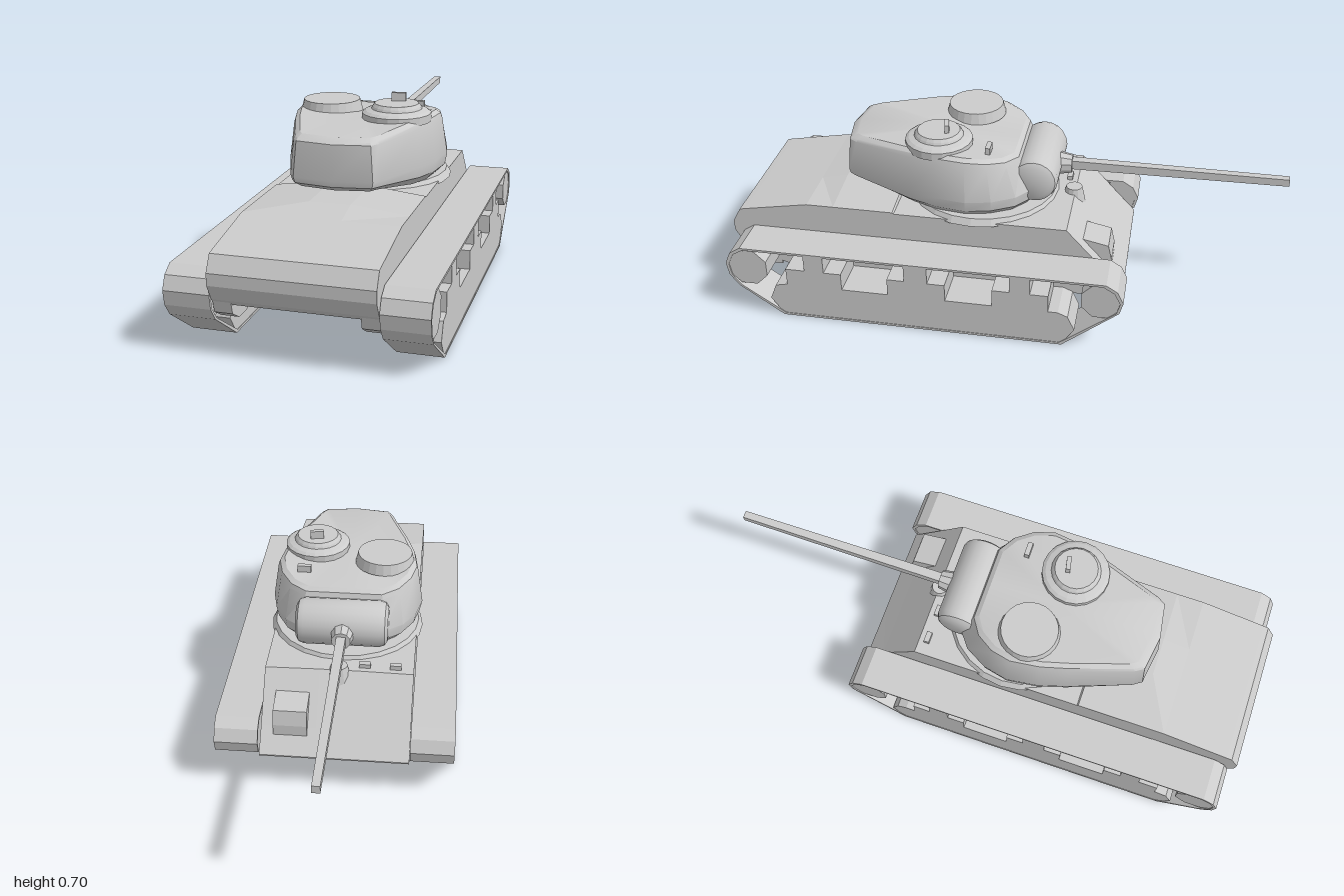
import * as THREE from 'three';
import { toCreasedNormals } from 'three/addons/utils/BufferGeometryUtils.js';

const flat = new THREE.MeshStandardMaterial({ color: 0xcccccc, flatShading: true, side: THREE.DoubleSide });
const smooth = new THREE.MeshStandardMaterial({ color: 0xcccccc, side: THREE.DoubleSide });

// Skin a stack of closed rings and cap both ends
function loft(rings) {
  const n = rings[0].length, pos = [], idx = [];
  const middle = r => [0, 1, 2].map(k => r.reduce((s, p) => s + p[k], 0) / n);
  rings.forEach(r => r.forEach(p => pos.push(...p)));
  const last = rings.length - 1, c0 = n * rings.length, c1 = c0 + 1;
  pos.push(...middle(rings[0]), ...middle(rings[last]));
  for (let i = 0; i < n; i++) {
    const j = (i + 1) % n;
    for (let r = 0; r < last; r++) {
      const a = r * n + i, b = r * n + j;
      idx.push(a, a + n, b, b, a + n, b + n);
    }
    idx.push(c0, i, j, c1, last * n + j, last * n + i);
  }
  const g = new THREE.BufferGeometry();
  g.setAttribute('position', new THREE.Float32BufferAttribute(pos, 3));
  g.setIndex(idx);
  g.computeVertexNormals();
  return g;
}

// Extrude a (z, y) side outline across the width, from x0 to x1
function sideExtrude(points, x0, x1, hole) {
  const toV = list => list.map(([z, y]) => new THREE.Vector2(z, y));
  const shape = new THREE.Shape(toV(points));
  if (hole) shape.holes.push(new THREE.Path(toV(hole)));
  const g = new THREE.ExtrudeGeometry(shape, { depth: x1 - x0, bevelEnabled: false });
  return g.rotateY(-Math.PI / 2).translate(x1, 0, 0);
}

export function createModel() {
  const model = new THREE.Group();
  model.name = 'tank';
  const add = (name, geometry, x = 0, y = 0, z = 0, material = flat) => {
    const mesh = new THREE.Mesh(geometry, material);
    mesh.name = name;
    mesh.position.set(x, y, z);
    model.add(mesh);
    return mesh;
  };

  // Hull sections: z, bottom, side top, centre top
  const W = 0.265, C = 0.07;
  const hullSections = [
    [1, 0.25, 0.29, 0.29], [0.97, 0.195, 0.343, 0.343], [0.95, 0.175, 0.347, 0.347],
    [0.8, 0.117, 0.374, 0.374], [0.71, 0.116, 0.39, 0.39], [0.61, 0.116, 0.39, 0.412],
    [0.39, 0.116, 0.39, 0.412], [0.385, 0.116, 0.385, 0.39], [-0.24, 0.116, 0.385, 0.388],
    [-0.38, 0.116, 0.23, 0.231], [-0.45, 0.15, 0.155, 0.155],
  ];
  add('hull', loft(hullSections.map(([z, b, s, m]) =>
    [[W, b, z], [W, s, z], [C, m, z], [-C, m, z], [-W, s, z], [-W, b, z]])));

  // Turret ring bulge over the hull sides
  add('turretRing', new THREE.CylinderGeometry(0.27, 0.285, 0.024, 24), 0, 0.389, 0.1);

  // Running gear
  const belt = [
    [0.78, 0], [0.94, 0.115], [0.972, 0.16], [0.98, 0.21], [0.96, 0.255], [0.92, 0.28],
    [-0.4, 0.28], [-0.44, 0.255], [-0.462, 0.21], [-0.45, 0.165], [-0.25, 0],
  ];
  const beltInner = belt.map(([z, y]) => [0.26 + (z - 0.26) * 0.985, 0.14 + (y - 0.14) * 0.94]);
  const block = [
    [0.78, 0.004], [0.825, 0.07], [0.8, 0.13], [0.755, 0.14], [0.755, 0.207], [0.685, 0.207], [0.685, 0.275],
  ];
  // Stepped gaps between the upright supports
  for (const c of [0.465, 0.085]) {
    for (const s of [1, -1]) {
      const steps = [[c + s * 0.148, 0.275], [c + s * 0.148, 0.207], [c + s * 0.085, 0.207], [c + s * 0.085, 0.14]];
      block.push(...(s > 0 ? steps : steps.reverse()));
    }
  }
  block.push([-0.135, 0.275], [-0.135, 0.207], [-0.2, 0.207], [-0.2, 0.14], [-0.235, 0.14],
    [-0.27, 0.125], [-0.295, 0.07], [-0.25, 0.004]);
  const octagon = (z, y, r) => Array.from({ length: 8 }, (_, i) => {
    const a = (i + 0.5) * Math.PI / 4;
    return [z + r * Math.cos(a), y + r * Math.sin(a)];
  });
  for (const [side, x0] of [['left', 0.267], ['right', -0.421]]) {
    const x1 = x0 + 0.154;
    add(side + 'Track', sideExtrude(belt, x0, x1, beltInner));
    add(side + 'WheelBlock', sideExtrude(block, x0 + 0.002, x1 - 0.002));
    add(side + 'EndWheelA', sideExtrude(octagon(0.9, 0.197, 0.077), x0 + 0.004, x1 - 0.004));
    add(side + 'EndWheelB', sideExtrude(octagon(-0.383, 0.205, 0.073), x0 + 0.004, x1 - 0.004));
    const hx = side === 'left' ? 0.205 : -0.265;
    add(side + 'DriveHousing', sideExtrude(
      [[0.83, 0.114], [0.9, 0.114], [0.95, 0.145], [0.96, 0.185], [0.83, 0.185]], hx, hx + 0.06));
  }

  // Sloped plate fittings
  add('plateWedge', sideExtrude(
    [[-0.28, 0.328], [-0.28, 0.25], [-0.4, 0.18], [-0.4, 0.25], [-0.387, 0.305]], 0.1, 0.22));
  add('plateDome', new THREE.CylinderGeometry(0.03, 0.05, 0.09, 12), 0, 0.362, -0.235);
  for (const x of [-0.2, -0.09]) add('hullPeriscope', new THREE.BoxGeometry(0.04, 0.02, 0.02), x, 0.393, -0.21);

  // Turret: one half plan, mirrored and scaled at each level
  const half = [
    [0, -0.1], [0.15, -0.1], [0.215, -0.05], [0.26, 0.03], [0.28, 0.12], [0.265, 0.23],
    [0.235, 0.33], [0.155, 0.55], [0.135, 0.58], [0, 0.6],
  ];
  const plan = [...half, ...half.slice(1, -1).reverse().map(([x, z]) => [-x, z])];
  // Levels: y, width scale, length scale, rise of the rear overhang
  const levels = [
    [0.4, 0.86, 0.92, 0.042], [0.43, 0.97, 0.99, 0.03], [0.47, 1, 1, 0.01],
    [0.6, 0.93, 0.975, 0], [0.617, 0.91, 0.955, 0], [0.628, 0.85, 0.9, 0],
  ];
  const turret = loft(levels.map(([y, sx, sz, rise]) => plan.map(([x, z]) => {
    const lift = rise * THREE.MathUtils.smoothstep(z, 0.3, 0.42);
    const lean = y > 0.55 ? 0.025 * Math.max(0, (0.1 - z) / 0.2) : 0;
    const rearDrop = y > 0.61 ? 0.01 * Math.max(0, (z - 0.3) / 0.3) : 0;
    return [x * sx, y + lift - lean - rearDrop, 0.2 + (z - 0.2) * sz + lean * 1.5];
  })));
  add('turret', toCreasedNormals(turret, 0.5), 0, 0, 0, smooth);

  // Gun shield, collar and barrel
  const shieldProfile = [[0, -0.165], [0.06, -0.165], [0.077, -0.155], [0.084, -0.135],
    [0.084, 0.135], [0.077, 0.155], [0.06, 0.165], [0, 0.165]].map(p => new THREE.Vector2(...p));
  const shield = new THREE.LatheGeometry(shieldProfile, 20).rotateZ(Math.PI / 2);
  add('gunShield', toCreasedNormals(shield, 0.6), 0, 0.505, -0.105, smooth);
  add('gunCollar', new THREE.CylinderGeometry(0.034, 0.045, 0.06, 10).rotateX(-Math.PI / 2), -0.005, 0.5, -0.195);
  add('gunBarrel', new THREE.CylinderGeometry(0.019, 0.024, 0.82, 4).rotateY(Math.PI / 4).rotateX(-Math.PI / 2),
    -0.005, 0.502, -0.59);

  // Roof details
  const cupola = [[0.12, 0.61], [0.12, 0.638], [0.108, 0.646], [0.088, 0.652], [0.084, 0.66], [0.076, 0.67], [0, 0.67]];
  add('cupola', new THREE.LatheGeometry(cupola.map(p => new THREE.Vector2(...p)), 20), 0.125, 0, 0.24);
  add('cupolaPeriscope', new THREE.BoxGeometry(0.05, 0.035, 0.016), 0.125, 0.682, 0.21).rotation.y = 0.2;
  add('roofHatch', new THREE.CylinderGeometry(0.1, 0.11, 0.04, 24), -0.135, 0.633, 0.155);
  add('roofPeriscope', new THREE.BoxGeometry(0.05, 0.025, 0.018), 0.155, 0.627, 0.055);
  return model;
}
